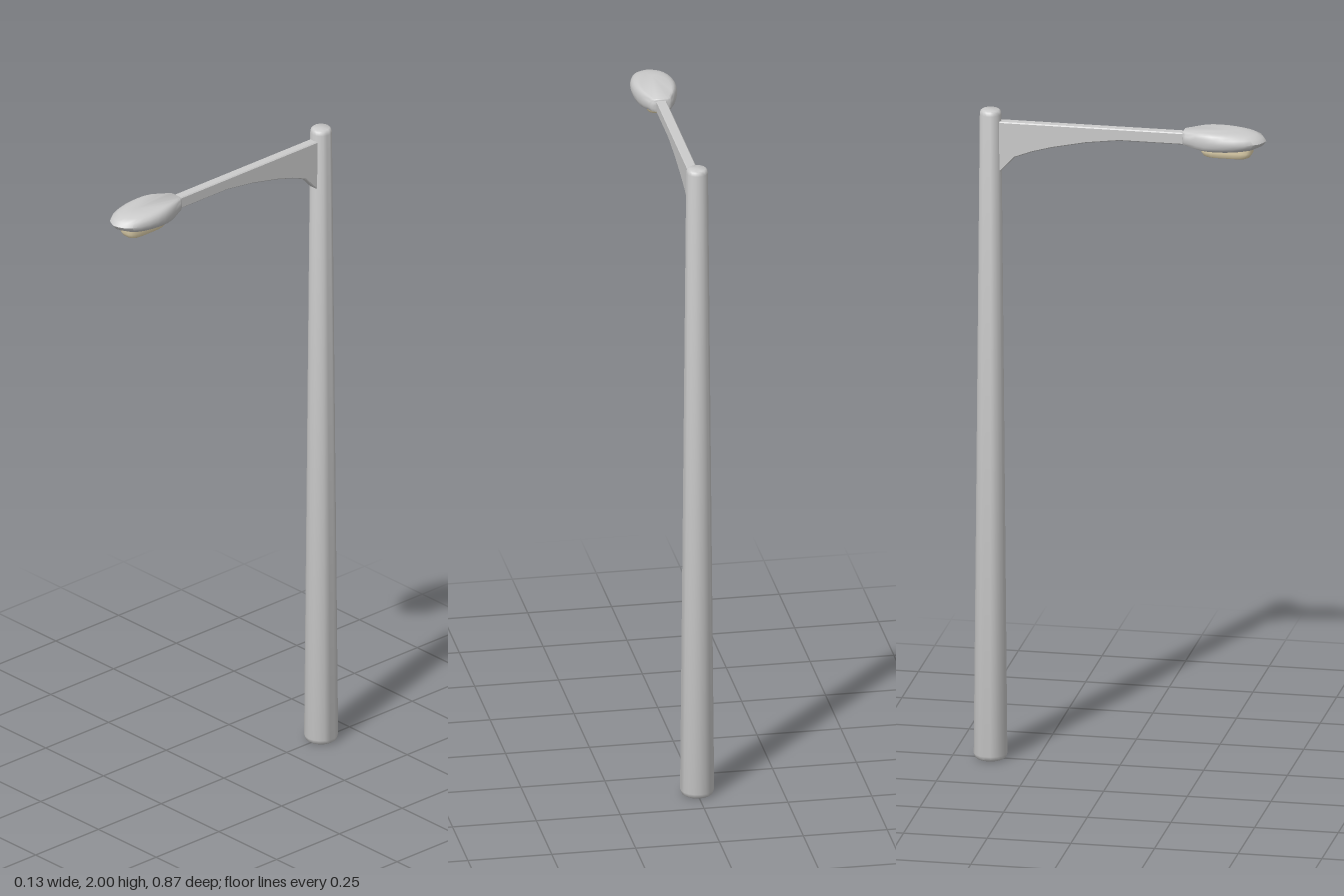
import * as THREE from 'three';
import { toCreasedNormals } from 'three/addons/utils/BufferGeometryUtils.js';

const POLE_Z = -0.387;
const v2 = (x, y) => new THREE.Vector2(x, y);

// Mirrors a half outline [x, z] (front tip to back) and stacks scaled copies: layers are [y, scale]
function loft(half, layers, pivotZ, samples, adjustY = (y) => y) {
  const right = new THREE.SplineCurve(half.map(([x, z]) => v2(x, z))).getPoints(samples);
  const left = right.slice(1).reverse().map((p) => v2(-p.x, p.y));
  const ring = [...right, ...left];
  const n = ring.length;
  const pos = [];
  const index = [];
  for (const [y, s] of layers) {
    for (const p of ring) {
      const z = pivotZ + (p.y - pivotZ) * s;
      pos.push(p.x * s, adjustY(y, z), z);
    }
  }
  for (let l = 0; l < layers.length - 1; l++) {
    for (let i = 0; i < n; i++) {
      const a = l * n + i, b = l * n + (i + 1) % n;
      index.push(a, b, b + n, a, b + n, a + n);
    }
  }
  // bottom and top caps, as strips across the mirror line
  const top = (layers.length - 1) * n;
  for (let i = 1; i < n - 1; i++) {
    index.push(0, i + 1, i);
    index.push(top, top + i, top + i + 1);
  }
  const geo = new THREE.BufferGeometry();
  geo.setAttribute('position', new THREE.Float32BufferAttribute(pos, 3));
  geo.setIndex(index);
  return toCreasedNormals(geo, 0.8);
}

export function createModel() {
  const group = new THREE.Group();
  const grey = new THREE.MeshStandardMaterial({ color: 0xcccccc });
  const cream = new THREE.MeshStandardMaterial({ color: 0xeedfb8 });
  const add = (name, geo, mat = grey) => {
    const mesh = new THREE.Mesh(geo, mat);
    mesh.name = name;
    group.add(mesh);
    return mesh;
  };

  // Tapered pole with softened ends
  const profile = [
    [0, 0], [0.04, 0], [0.047, 0.005], [0.05, 0.016],
    [0.032, 1.986], [0.03, 1.996], [0.025, 2], [0, 2],
  ].map(([r, y]) => v2(r, y));
  add('pole', toCreasedNormals(new THREE.LatheGeometry(profile, 18), 0.8)).position.z = POLE_Z;

  // Flat arm with a curved bracket underneath, drawn in (z, y)
  const side = new THREE.Shape([
    [0.21, 1.967], [-0.375, 1.967], [-0.375, 1.8], [-0.354, 1.815], [-0.312, 1.86],
    [-0.26, 1.88], [-0.2, 1.897], [-0.1, 1.918], [0, 1.931], [0.21, 1.931],
  ].map(([z, y]) => v2(z, y)));
  const bevel = 0.003;
  const armGeo = new THREE.ExtrudeGeometry(side, {
    depth: 0.03 - 2 * bevel, bevelEnabled: true, bevelSize: bevel,
    bevelThickness: bevel, bevelOffset: -bevel, bevelSegments: 1,
  });
  armGeo.translate(0, 0, -0.015 + bevel).rotateY(-Math.PI / 2);
  add('arm', armGeo);

  // Lamp head: rounded pebble, cut straight and slimmer where it meets the arm
  const headOutline = [
    [0, 0.437], [0.034, 0.423], [0.057, 0.385], [0.067, 0.325],
    [0.06, 0.265], [0.041, 0.215], [0.032, 0.196], [0.022, 0.19],
  ];
  const headLayers = [
    [1.926, 0.78], [1.931, 0.88], [1.94, 0.96], [1.953, 1],
    [1.966, 0.96], [1.974, 0.88], [1.979, 0.77], [1.981, 0.64],
  ];
  const slim = (y, z) => {
    const t = THREE.MathUtils.smoothstep(z, 0.19, 0.27);
    return 1.953 + (y - 1.953) * (0.72 + 0.28 * t);
  };
  add('lampHead', loft(headOutline, headLayers, 0.195, 14, slim));

  // Lens below the head
  const lensOutline = [
    [0, 0.4], [0.02, 0.396], [0.03, 0.375], [0.031, 0.32],
    [0.03, 0.265], [0.02, 0.244], [0, 0.24],
  ];
  add('lens', loft(lensOutline, [[1.899, 0.74], [1.903, 0.86], [1.916, 0.97], [1.935, 1]], 0.32, 14), cream);

  return group;
}
